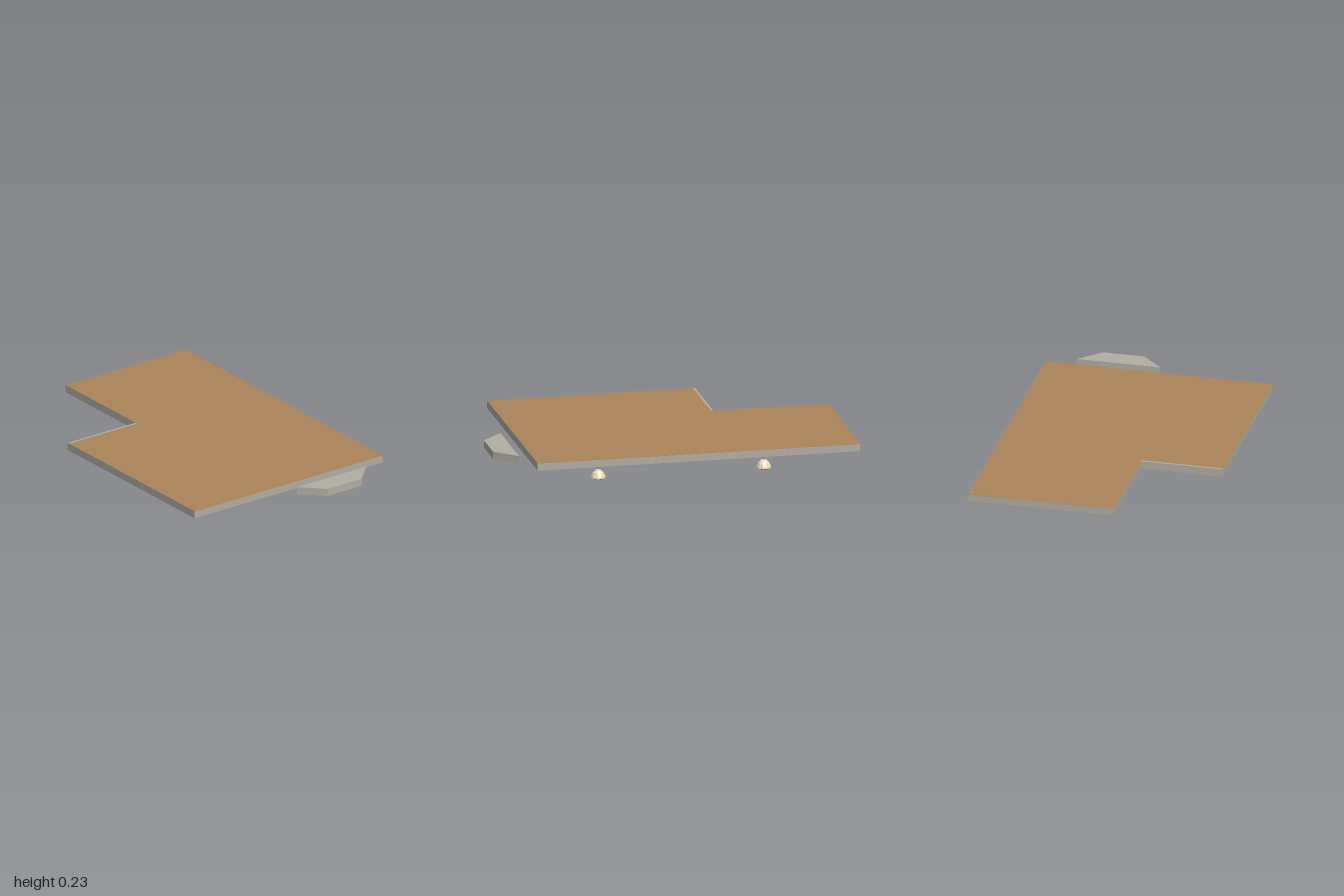
import * as THREE from 'three';

const V = (x, y) => new THREE.Vector2(x, y);
const mat = (name, color) => {
  const material = new THREE.MeshStandardMaterial({ color, flatShading: true });
  material.name = name;
  return material;
};

export function createModel() {
  const model = new THREE.Group();
  model.name = 'floorSection';
  const stone = mat('stoneGrey', 0xb1ada3);
  const wood = mat('woodBrown', 0xaa8459);
  const ceiling = mat('ceilingWhite', 0xdedcd8);
  const cream = mat('lampCream', 0xe8dbb6);
  const metal = mat('cordGrey', 0x77756f);

  const add = (parent, name, geometry, material) => {
    const mesh = new THREE.Mesh(geometry, material);
    mesh.name = name;
    parent.add(mesh);
    return mesh;
  };

  // Horizontal plate from an outline of [x, z] points
  const plate = (name, outline, y0, y1, material) => {
    const shape = new THREE.Shape(outline.map(([x, z]) => V(x, -z)));
    const geo = new THREE.ExtrudeGeometry(shape, { depth: y1 - y0, bevelEnabled: false });
    geo.rotateX(-Math.PI / 2);
    geo.translate(0, y0, 0);
    return add(model, name, geo, material);
  };

  // Downward-facing sheet that covers the underside of a plate
  const underside = (name, outline, y) => {
    const geo = new THREE.ShapeGeometry(new THREE.Shape(outline.map(([x, z]) => V(x, z))));
    geo.rotateX(Math.PI / 2);
    geo.translate(0, y, 0);
    return add(model, name, geo, ceiling);
  };

  // L-shaped slab with its wooden floor and pale ceiling
  const outline = (notchZ) => [
    [-0.643, 0.812], [0.641, 0.812], [0.641, -1], [-0.18, -1], [-0.18, notchZ], [-0.643, notchZ],
  ];
  plate('slab', outline(-0.356), 0.188, 0.229, stone);
  plate('woodFloor', outline(-0.343), 0.229, 0.23, wood);
  underside('ceiling', outline(-0.356), 0.187);

  // Edge strip along the notch
  const strip = add(model, 'edgeStrip', new THREE.BoxGeometry(0.463, 0.004, 0.013), stone);
  strip.position.set(-0.4115, 0.2285, -0.3495);

  // Detached bay slab at the front
  const bay = [[0.005, 0.88], [0.125, 1], [0.358, 1], [0.478, 0.88]];
  plate('baySlab', bay, 0.188, 0.23, stone);
  underside('bayCeiling', bay, 0.187);

  const lathe = (points, sides) => new THREE.LatheGeometry(points.map(([r, y]) => V(r, y)), sides);

  // Pendant lamps: ceiling rose, cord, domed shade
  for (const z of [0.385, -0.545]) {
    const lamp = new THREE.Group();
    lamp.name = 'pendantLamp';
    lamp.position.set(0.246, 0, z);
    add(lamp, 'ceilingRose', lathe(
      [[0, 0.178], [0.02, 0.178], [0.035, 0.18], [0.05, 0.182], [0.064, 0.186], [0.064, 0.188]], 12), ceiling);
    const cord = add(lamp, 'cord', new THREE.CylinderGeometry(0.0018, 0.0018, 0.124, 6), metal);
    cord.position.y = 0.119;
    add(lamp, 'shade', lathe(
      [[0.042, 0.014], [0.041, 0.022], [0.031, 0.042], [0.016, 0.057], [0, 0.059]], 10), cream);
    add(lamp, 'shadeBase', lathe([[0, 0], [0.02, 0.003], [0.042, 0.014]], 10), cream);
    model.add(lamp);
  }

  // Small ceiling bulbs
  for (const z of [0.55, -0.045]) {
    const bulb = add(model, 'ceilingBulb', lathe(
      [[0, 0.143], [0.011, 0.146], [0.022, 0.158], [0.023, 0.165], [0.017, 0.178], [0.014, 0.188]], 8), cream);
    bulb.position.set(-0.411, 0, z);
  }
  return model;
}
